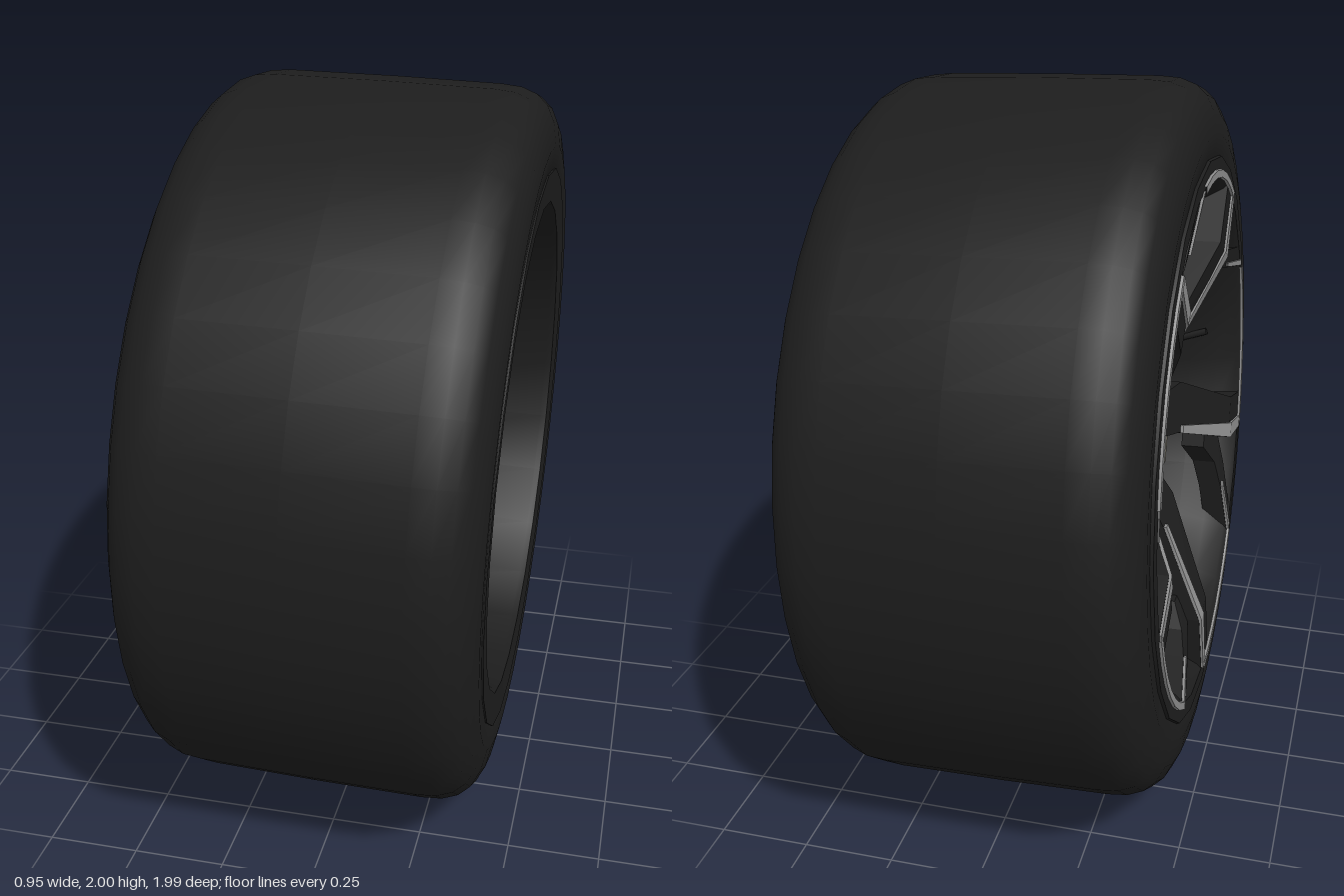
import * as THREE from 'three';
import { toCreasedNormals } from 'three/addons/utils/BufferGeometryUtils.js';

const RAD = Math.PI / 180;
const mat = (name, color) => {
  const m = new THREE.MeshStandardMaterial({ color });
  m.name = name;
  return m;
};

// Revolve [radius, x] points around the wheel axle (x)
function revolve(points, sides, start = 0, sweep = 360) {
  const g = new THREE.LatheGeometry(points.map(p => new THREE.Vector2(...p)), sides, (start - 90) * RAD, sweep * RAD);
  return toCreasedNormals(g.rotateZ(-Math.PI / 2), 0.7);
}

// Solid disc from x0 to x1
const disc = (r, x0, x1, sides) => revolve([[0, x0], [r, x0], [r, x1], [0, x1]], sides);

// Bar through stations [radius, angle, frontX, width]
function bar(stations, depth) {
  const rings = stations.map(([r, a, x, w]) => {
    const s = Math.sin(a * RAD), c = Math.cos(a * RAD), h = w / 2;
    const corner = (t, px) => [px, r * c - t * s, r * s + t * c];
    return [corner(-h, x), corner(h, x), corner(h, x + depth), corner(-h, x + depth)];
  });
  const pos = [];
  const quad = (a, b, c, d) => pos.push(...a, ...b, ...c, ...a, ...c, ...d);
  for (let i = 0; i < rings.length - 1; i++) {
    const A = rings[i], B = rings[i + 1];
    for (let j = 0; j < 4; j++) quad(A[j], A[(j + 1) % 4], B[(j + 1) % 4], B[j]);
  }
  const S = rings[0], E = rings[rings.length - 1];
  quad(S[0], S[3], S[2], S[1]);
  quad(E[0], E[1], E[2], E[3]);
  const g = new THREE.BufferGeometry();
  g.setAttribute('position', new THREE.Float32BufferAttribute(pos, 3));
  g.computeVertexNormals();
  return g;
}

export function createModel() {
  const rubber = mat('tyre rubber', 0x1d1d1d);
  const black = mat('rim black', 0x1d1d1d);
  const iron = mat('disc black', 0x1b1b1b);
  const silver = mat('edge silver', 0x8c8c8c);
  const castGrey = mat('caliper grey', 0x706d62);

  const model = new THREE.Group();
  const wheel = new THREE.Group();
  wheel.name = 'wheel';
  model.add(wheel);
  const add = (name, geometry, material, parent = wheel) => {
    const m = new THREE.Mesh(geometry, material);
    m.name = name;
    parent.add(m);
    return m;
  };

  // Tyre: symmetric rounded cross-section
  const half = [[0.991, 0.29], [0.986, 0.345], [0.97, 0.387], [0.943, 0.417], [0.9, 0.438], [0.84, 0.449], [0.775, 0.444]];
  const left = half.map(([r, x]) => [r, -x]).reverse();
  add('tyre', revolve([[0.72, -0.4], ...left, [0.993, 0], ...half, [0.72, 0.4], [0.72, -0.4]], 40), rubber);

  // Rim: protruding outer lip, barrel and flat inner flange
  add('rim', revolve([
    [0.655, -0.3], [0.69, -0.38], [0.725, -0.44], [0.74, -0.453], [0.785, -0.453], [0.79, -0.435],
    [0.735, -0.38], [0.735, 0.38], [0.78, 0.43], [0.78, 0.449], [0.69, 0.443], [0.683, 0.425], [0.655, -0.3],
  ], 24), black);

  // Brake disc with its hat
  add('brakeDisc', disc(0.545, -0.11, -0.05, 32), iron);
  add('discHat', disc(0.24, -0.17, -0.1, 24), iron);

  // Caliper: ring sector at the front of the disc
  const sector = new THREE.Shape();
  sector.absarc(0, 0, 0.572, -31 * RAD, 57 * RAD, false);
  sector.absarc(0, 0, 0.42, 52 * RAD, -28 * RAD, true);
  const caliper = new THREE.ExtrudeGeometry(sector, {
    depth: 0.13, bevelThickness: 0.03, bevelSize: 0.015, bevelSegments: 3, curveSegments: 14,
  });
  add('caliper', toCreasedNormals(caliper.rotateY(-Math.PI / 2), 0.8), castGrey).position.x = -0.09;

  // Hub with cap
  add('hub', revolve([[0, -0.26], [0.08, -0.26], [0.2, -0.25], [0.22, -0.2], [0.19, -0.13], [0, -0.13]], 20), black);
  add('hubCap', disc(0.07, -0.27, -0.25, 16), iron);

  // Five forked spokes, each with a wide arm, a thin arm and silver edging
  const wide = [[0.07, 22, -0.255, 0.1], [0.27, 21, -0.335, 0.16], [0.56, 33, -0.448, 0.13], [0.735, 32.5, -0.453, 0.12]];
  const wideEdge = [[0.28, 35.5, -0.345, 0.024], [0.56, 37.2, -0.455, 0.046], [0.738, 35.4, -0.459, 0.036]];
  const thin = [[0.49, 38, -0.38, 0.1], [0.56, 43, -0.41, 0.1], [0.62, 51, -0.43, 0.085], [0.735, 61, -0.45, 0.08]];
  const thinEdge = [[0.622, 53.8, -0.437, 0.018], [0.738, 63.2, -0.458, 0.022]];
  for (let i = 0; i < 5; i++) {
    const spoke = new THREE.Group();
    spoke.name = 'spoke';
    spoke.rotation.x = i * 72 * RAD;
    wheel.add(spoke);
    add('wideArm', bar(wide, 0.1), black, spoke);
    add('thinArm', bar(thin, 0.07), black, spoke);
    add('wideArmEdge', bar(wideEdge, 0.009), silver, spoke);
    add('thinArmEdge', bar(thinEdge, 0.009), silver, spoke);
    add('rimEdge', revolve([[0.726, -0.452], [0.728, -0.46], [0.748, -0.46], [0.75, -0.452]], 6, -8, 44), silver, spoke);

    // Wheel bolt in a raised collar
    const bolt = new THREE.Group();
    bolt.name = 'wheelBolt';
    bolt.position.set(0, 0.16 * Math.cos(62 * RAD), 0.16 * Math.sin(62 * RAD));
    spoke.add(bolt);
    add('boltCollar', new THREE.TorusGeometry(0.027, 0.007, 6, 12).rotateY(Math.PI / 2).translate(-0.258, 0, 0), black, bolt);
    add('boltHead', disc(0.018, -0.272, -0.24, 6), iron, bolt);
  }

  // Valve on the barrel
  add('valve', new THREE.CylinderGeometry(0.011, 0.011, 0.09, 8).rotateZ(Math.PI / 2 - 0.3).translate(-0.31, 0.09, 0.645), black);

  // Slight camber lean
  wheel.rotation.z = -0.027;
  wheel.position.y = 1;
  return model;
}
